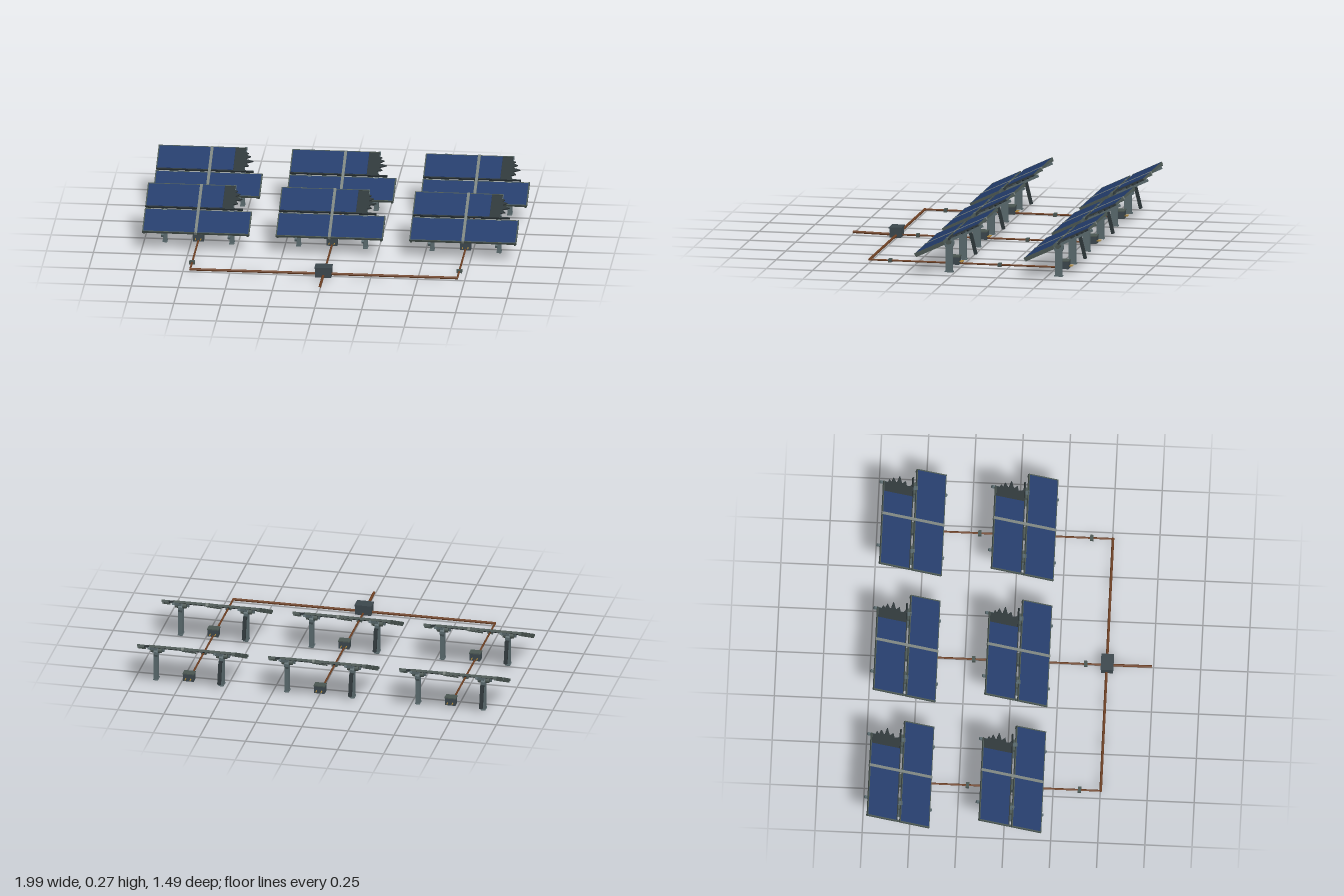
import * as THREE from 'three';

const mat = (color, extra = {}) => new THREE.MeshStandardMaterial({ color, ...extra });
const glass = mat(0x233c6b);
const backing = mat(0x2d3639);
const frame = mat(0x4a5652);
const lightRail = mat(0x7c8480);
const steel = mat(0x5a6a6e);
const boxGrey = mat(0x3c474d);
const copper = mat(0x6e4023);
const brass = mat(0xb0893a);

function add(parent, name, geometry, material, x = 0, y = 0, z = 0) {
  const mesh = new THREE.Mesh(geometry, material);
  mesh.name = name;
  mesh.position.set(x, y, z);
  parent.add(mesh);
  return mesh;
}

function box(parent, name, material, w, h, d, x, y, z) {
  return add(parent, name, new THREE.BoxGeometry(w, h, d), material, x, y, z);
}

// Round bar between two points
function bar(parent, name, material, radius, a, b, sides = 10) {
  const from = new THREE.Vector3(...a), to = new THREE.Vector3(...b);
  const dir = to.clone().sub(from);
  const mesh = add(parent, name, new THREE.CylinderGeometry(radius, radius, dir.length(), sides), material);
  mesh.position.copy(from).add(to).multiplyScalar(0.5);
  mesh.quaternion.setFromUnitVectors(new THREE.Vector3(0, 1, 0), dir.normalize());
  return mesh;
}

// Flat plate cut from an outline of [x, z] points, thickness going up
function plate(parent, name, material, outline, thickness, y) {
  const shape = new THREE.Shape(outline.map(([x, z]) => new THREE.Vector2(x, -z)));
  const geometry = new THREE.ExtrudeGeometry(shape, { depth: thickness, bevelEnabled: false });
  geometry.rotateX(-Math.PI / 2);
  return add(parent, name, geometry, material, 0, y, 0);
}

// Tilted table: z runs down the slope, y is normal to the glass
function createTable() {
  const table = new THREE.Group();
  table.name = 'tiltedTable';
  const W = 0.283;

  // Lower row: backing sheet and two whole panels
  box(table, 'lowerBacking', backing, 2 * W, 0.007, 0.171, 0, -0.0085, 0.0955);
  for (const side of [-1, 1]) {
    box(table, 'lowerGlass', glass, 0.272, 0.005, 0.163, side * 0.144, -0.0025, 0.0955);
    box(table, 'lowerSideFrame', frame, 0.006, 0.014, 0.173, side * 0.282, -0.006, 0.0955);
  }
  for (const z of [0.012, 0.179])
    box(table, 'lowerEdgeFrame', frame, 2 * W, 0.013, 0.005, 0, -0.0065, z);

  // Upper row: whole left panel, right panel snapped off in jagged teeth
  plate(table, 'brokenBacking', backing, [
    [-W, -0.181], [0.182, -0.181], [0.178, -0.155], [0.197, -0.146], [0.184, -0.134],
    [0.211, -0.122], [0.187, -0.106], [0.193, -0.099], [0.227, -0.087], [0.189, -0.072],
    [0.206, -0.052], [0.18, -0.044], [0.184, -0.024], [0.2, -0.01], [-W, -0.01],
  ], 0.007, -0.012);
  box(table, 'upperLeftGlass', glass, 0.272, 0.005, 0.165, -0.144, -0.0025, -0.0945);
  box(table, 'brokenGlass', glass, 0.117, 0.005, 0.165, 0.0665, -0.0025, -0.0945);
  box(table, 'upperSideFrame', frame, 0.006, 0.014, 0.173, -0.282, -0.006, -0.0945);
  box(table, 'upperTopFrame', frame, W + 0.182, 0.013, 0.005, (0.182 - W) / 2, -0.0065, -0.179);
  box(table, 'upperBottomFrame', backing, W + 0.235, 0.012, 0.006, (0.235 - W) / 2, -0.007, -0.009);

  // Rails running down the slope
  box(table, 'centreRail', lightRail, 0.015, 0.016, 0.366, 0, -0.006, 0);
  for (const x of [-0.178, 0.178])
    box(table, 'supportRail', steel, 0.013, 0.014, 0.392, x, -0.019, 0);
  for (const x of [-0.276, 0, 0.276]) {
    const full = x <= 0;
    box(table, 'underRail', frame, 0.01, 0.009, full ? 0.36 : 0.17, x, -0.0165, full ? 0 : 0.095);
  }

  table.rotation.x = THREE.MathUtils.degToRad(25.3);
  table.position.set(0, 0.189, 0.003);
  return table;
}

// Post with a pivot head, in side profile
function createPost(x) {
  const post = new THREE.Group();
  post.name = 'post';
  const profile = [[-0.019, 0], [0.019, 0], [0.019, 0.135], [0.027, 0.15], [0.027, 0.172],
    [0.016, 0.185], [-0.016, 0.178], [-0.027, 0.165], [-0.027, 0.15], [-0.019, 0.135]];
  const shape = new THREE.Shape(profile.map(([z, y]) => new THREE.Vector2(-z, y)).reverse());
  const geometry = new THREE.ExtrudeGeometry(shape, { depth: 0.022, bevelEnabled: false });
  geometry.translate(0, 0, -0.011).rotateY(Math.PI / 2);
  add(post, 'postBody', geometry, steel);
  bar(post, 'pivotHub', frame, 0.014, [-0.03, 0.166, 0], [0.03, 0.166, 0], 16);
  box(post, 'footPlate', steel, 0.026, 0.006, 0.046, 0, 0.003, 0);
  post.position.x = x;
  return post;
}

function createUnit() {
  const unit = new THREE.Group();
  unit.name = 'panelUnit';
  unit.add(createTable(), createPost(-0.178), createPost(0.178));

  // Tilt strut behind one post
  const strut = box(unit, 'tiltStrut', backing, 0.018, 0.125, 0.016, -0.178, 0.091, -0.054);
  strut.rotation.x = 0.24;

  // Junction box with cable glands
  box(unit, 'junctionBox', boxGrey, 0.058, 0.042, 0.042, 0, 0.031, 0);
  box(unit, 'junctionLid', frame, 0.062, 0.006, 0.046, 0, 0.052, 0);
  for (const x of [-0.014, 0.014])
    bar(unit, 'cableGland', brass, 0.003, [x, 0.025, -0.04], [x, 0.025, 0.04], 8);
  return unit;
}

export function createModel() {
  const model = new THREE.Group();
  model.name = 'solarField';
  const columns = [-0.711, 0, 0.711];
  const rows = [0.033, -0.56];

  for (const x of columns) {
    for (const z of rows) {
      const unit = createUnit();
      unit.position.set(x, 0, z);
      model.add(unit);
    }
    // Conduit linking the units of a column, with couplings
    bar(model, 'columnConduit', copper, 0.005, [x, 0.014, 0.5], [x, 0.014, -0.575]);
    for (const z of [0.39, -0.204])
      box(model, 'conduitCoupling', frame, 0.03, 0.018, 0.018, x, 0.014, z);
  }

  // Main conduit across the front and the outgoing cable
  bar(model, 'mainConduit', copper, 0.007, [-0.715, 0.015, 0.502], [0.715, 0.015, 0.502]);
  const path = new THREE.CatmullRomCurve3([
    new THREE.Vector3(0, 0.013, 0.5), new THREE.Vector3(0, 0.016, 0.62), new THREE.Vector3(0, 0.019, 0.742)]);
  add(model, 'outgoingCable', new THREE.TubeGeometry(path, 12, 0.007, 10), copper);

  // Combiner box
  box(model, 'combinerBox', boxGrey, 0.086, 0.05, 0.062, 0, 0.029, 0.505);
  box(model, 'combinerLid', boxGrey, 0.092, 0.007, 0.068, 0, 0.0565, 0.505);
  return model;
}
